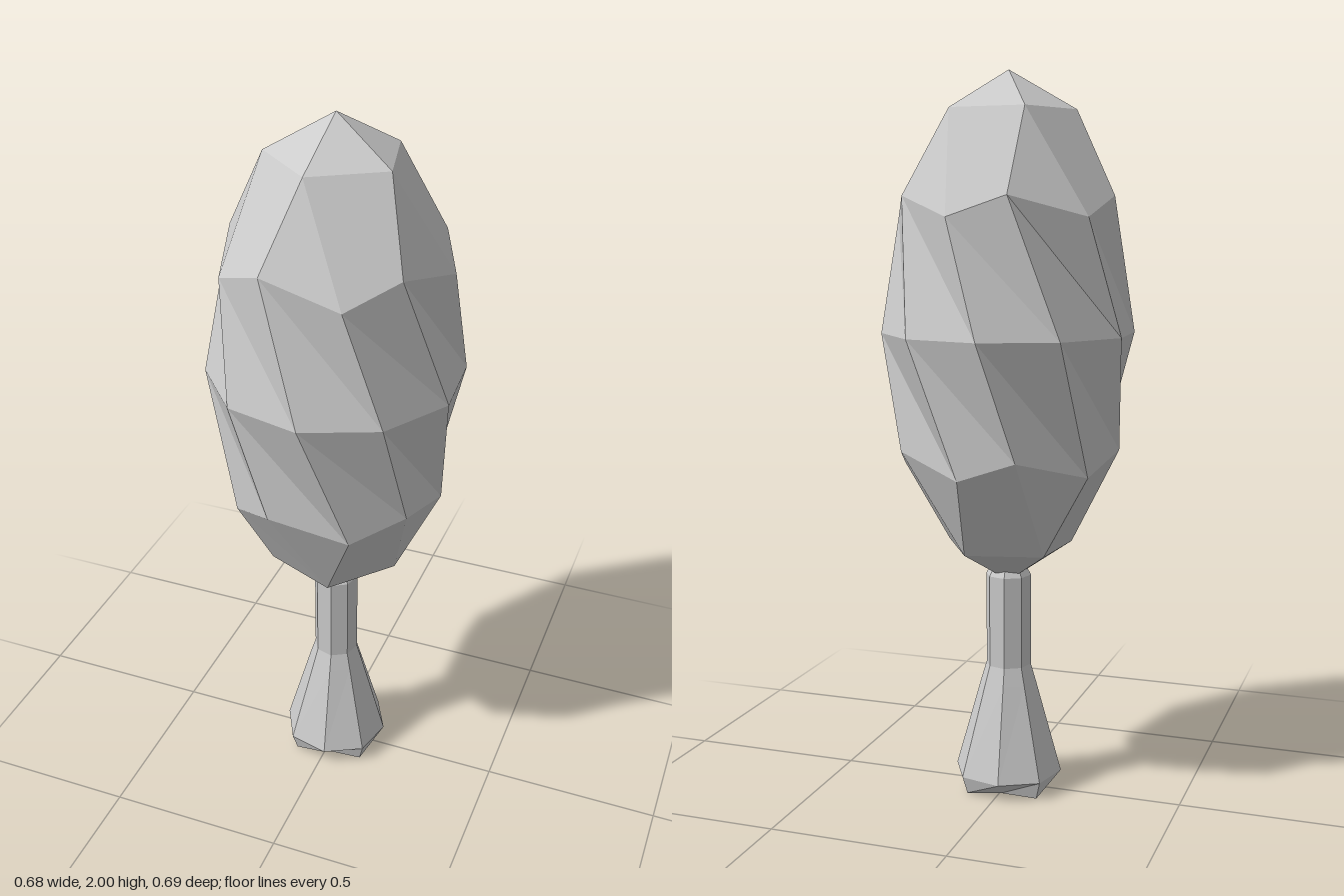
import * as THREE from 'three';

const material = new THREE.MeshStandardMaterial({ color: 0xcccccc, flatShading: true });
const rad = THREE.MathUtils.degToRad;

// Applies a rule to every vertex, then rebuilds flat normals
function deform(geometry, rule) {
  const flat = geometry.index ? geometry.toNonIndexed() : geometry;
  const pos = flat.attributes.position;
  const v = new THREE.Vector3();
  for (let i = 0; i < pos.count; i++) {
    rule(v.fromBufferAttribute(pos, i));
    pos.setXYZ(i, v.x, v.y, v.z);
  }
  flat.computeVertexNormals();
  return flat;
}

// Foliage: a faceted ball with a vertex at each pole, twisted and stretched
function makeFoliage() {
  const ball = new THREE.IcosahedronGeometry(1, 1);
  ball.rotateX(-Math.atan((1 + Math.sqrt(5)) / 2));
  const geometry = deform(ball, (v) => {
    const r = Math.hypot(v.x, v.z) * 0.348;
    const twist = 80 * v.y - 8.3 * v.y ** 3;
    const a = Math.atan2(v.z, v.x) + rad(13.5 + twist);
    v.set(r * Math.cos(a), 1.3 + 0.7 * v.y, r * Math.sin(a));
  });
  const mesh = new THREE.Mesh(geometry, material);
  mesh.name = 'foliage';
  return mesh;
}

// Trunk: eight sides, flared at the foot, with a squarish underside
function makeTrunk() {
  // Each ring: height, radius at the corners, radius between them
  const rings = [
    [0.645, 0.05, 0.05],
    [0.62, 0.064, 0.064],
    [0.36, 0.064, 0.064],
    [0.31, 0.079, 0.079],
    [0.05, 0.156, 0.152],
    [0.01, 0.14, 0.104],
  ];
  const steps = rings.length - 1;
  const geometry = deform(new THREE.CylinderGeometry(1, 1, 1, 8, steps), (v) => {
    const [y, corner, side] = rings[Math.round((0.5 - v.y) * steps)];
    const isCorner = Math.abs(v.x * v.z) > 0.25;
    const r = Math.hypot(v.x, v.z) * (isCorner ? corner : side);
    const a = Math.atan2(v.x, v.z) + rad(7);
    v.set(r * Math.sin(a), y === 0.01 && !isCorner ? 0.01 : y === 0.01 ? 0 : y, r * Math.cos(a));
  });
  const mesh = new THREE.Mesh(geometry, material);
  mesh.name = 'trunk';
  return mesh;
}

export function createModel() {
  const tree = new THREE.Group();
  tree.name = 'tree';
  tree.add(makeFoliage(), makeTrunk());
  return tree;
}
